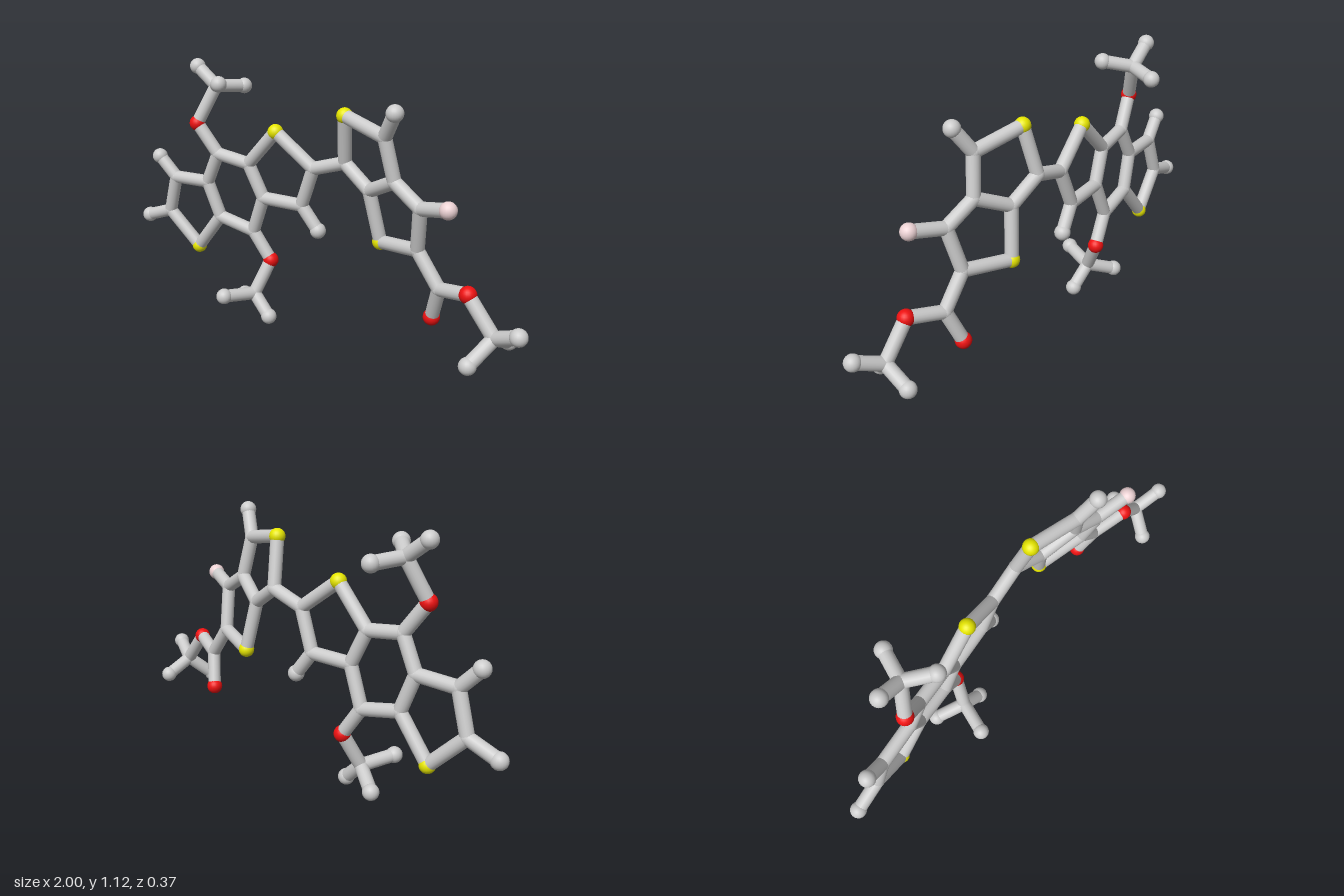
import * as THREE from 'three';

const STICK = 0.028;
const KINDS = {
  joint: { radius: 0.029, color: 0xcccccc },
  tip: { radius: 0.034, color: 0xcccccc },
  yellow: { radius: 0.033, color: 0xe6e600 },
  red: { radius: 0.034, color: 0xee1111 },
  pink: { radius: 0.034, color: 0xecd2d4 },
};

// The two fused-ring halves each lie in a slightly tilted plane
const leftPlane = (x, y) => -0.114 - 0.121 * x + 0.075 * y;
const rightPlane = (x, y) => -0.2365 + 0.244 * x + 0.187 * y;

// name: [kind, x, y, z (only where out of plane)]
const LEFT = {
  a1: ['yellow', -0.684, 0.256], a2: ['joint', -0.834, 0.404], a3: ['joint', -0.78, 0.575],
  a4: ['joint', -0.6, 0.58], a5: ['joint', -0.545, 0.425],
  a2Tip: ['tip', -0.966, 0.358], a3Tip: ['tip', -0.863, 0.662],
  b1: ['joint', -0.53, 0.72], b2: ['joint', -0.37, 0.698], b3: ['joint', -0.305, 0.553], b4: ['joint', -0.37, 0.388],
  c1: ['yellow', -0.22, 0.858], c2: ['joint', -0.045, 0.725], c3: ['joint', -0.112, 0.553],
  c3Tip: ['tip', -0.037, 0.452],
  // upper side arm
  d1: ['red', -0.62, 0.848, 0.033], d2: ['joint', -0.556, 1.01, -0.025],
  d3: ['tip', -0.656, 1.085, -0.018], d4: ['tip', -0.457, 1.04, 0.06], d5: ['tip', -0.51, 0.998, -0.152],
  // lower side arm
  e1: ['red', -0.289, 0.265, -0.06], e2: ['joint', -0.326, 0.12, 0.01],
  e3: ['tip', -0.442, 0.067, -0.052], e4: ['tip', -0.237, 0.036, 0.018], e5: ['tip', -0.374, 0.138, 0.152],
};
const RIGHT = {
  f1: ['joint', 0.107, 0.773], f2: ['yellow', 0.138, 0.976], f3: ['joint', 0.358, 0.933],
  f4: ['joint', 0.39, 0.762], f5: ['joint', 0.24, 0.687], f3Tip: ['tip', 0.424, 1.038],
  g1: ['yellow', 0.277, 0.475], g2: ['joint', 0.487, 0.505], g3: ['joint', 0.519, 0.687], g3Tip: ['pink', 0.661, 0.72],
  // branched tail
  h1: ['joint', 0.588, 0.372], h2: ['red', 0.538, 0.23], h3: ['red', 0.738, 0.405, 0.023],
  h4: ['joint', 0.853, 0.265, 0.022],
  h5: ['tip', 0.966, 0.318, 0.06], h6: ['tip', 0.803, 0.177, 0.117], h7: ['tip', 0.854, 0.21, -0.096],
};

// Chains of connected balls
const CHAINS = [
  'a1 a2 a3 a4 a5 a1', 'a2 a2Tip', 'a3 a3Tip',
  'a4 b1 b2 b3 b4 a5', 'b2 c1 c2 c3 b3', 'c3 c3Tip',
  'b1 d1 d2 d3', 'd4 d2 d5', 'b4 e1 e2 e3', 'e4 e2 e5',
  'c2 f1 f2 f3 f4 f5 f1', 'f3 f3Tip', 'f5 g1 g2 g3 f4', 'g3 g3Tip',
  'g2 h1 h2', 'h1 h3 h4 h5', 'h6 h4 h7',
];

export function createModel() {
  const model = new THREE.Group();
  model.name = 'ballAndStickModel';
  const balls = new THREE.Group();
  balls.name = 'balls';
  const sticks = new THREE.Group();
  sticks.name = 'sticks';
  model.add(balls, sticks);

  const shared = {};
  for (const [kind, { radius, color }] of Object.entries(KINDS)) {
    shared[kind] = {
      geometry: new THREE.SphereGeometry(radius, 20, 14),
      material: new THREE.MeshStandardMaterial({ color }),
    };
  }

  // Balls at every junction and end
  const points = {};
  const addBalls = (table, plane) => {
    for (const [key, [kind, x, y, z = plane(x, y)]] of Object.entries(table)) {
      const ball = new THREE.Mesh(shared[kind].geometry, shared[kind].material);
      ball.name = kind + 'Ball';
      ball.position.set(x, y, z);
      points[key] = ball.position;
      balls.add(ball);
    }
  };
  addBalls(LEFT, leftPlane);
  addBalls(RIGHT, rightPlane);

  // Sticks between neighbours
  const rod = new THREE.CylinderGeometry(STICK, STICK, 1, 18, 1, true);
  const up = new THREE.Vector3(0, 1, 0);
  for (const chain of CHAINS) {
    const keys = chain.split(' ');
    for (let i = 1; i < keys.length; i++) {
      const a = points[keys[i - 1]], b = points[keys[i]];
      const along = b.clone().sub(a);
      const stick = new THREE.Mesh(rod, shared.joint.material);
      stick.name = 'stick';
      stick.position.copy(a).add(b).multiplyScalar(0.5);
      stick.scale.y = along.length();
      stick.quaternion.setFromUnitVectors(up, along.normalize());
      sticks.add(stick);
    }
  }
  return model;
}
